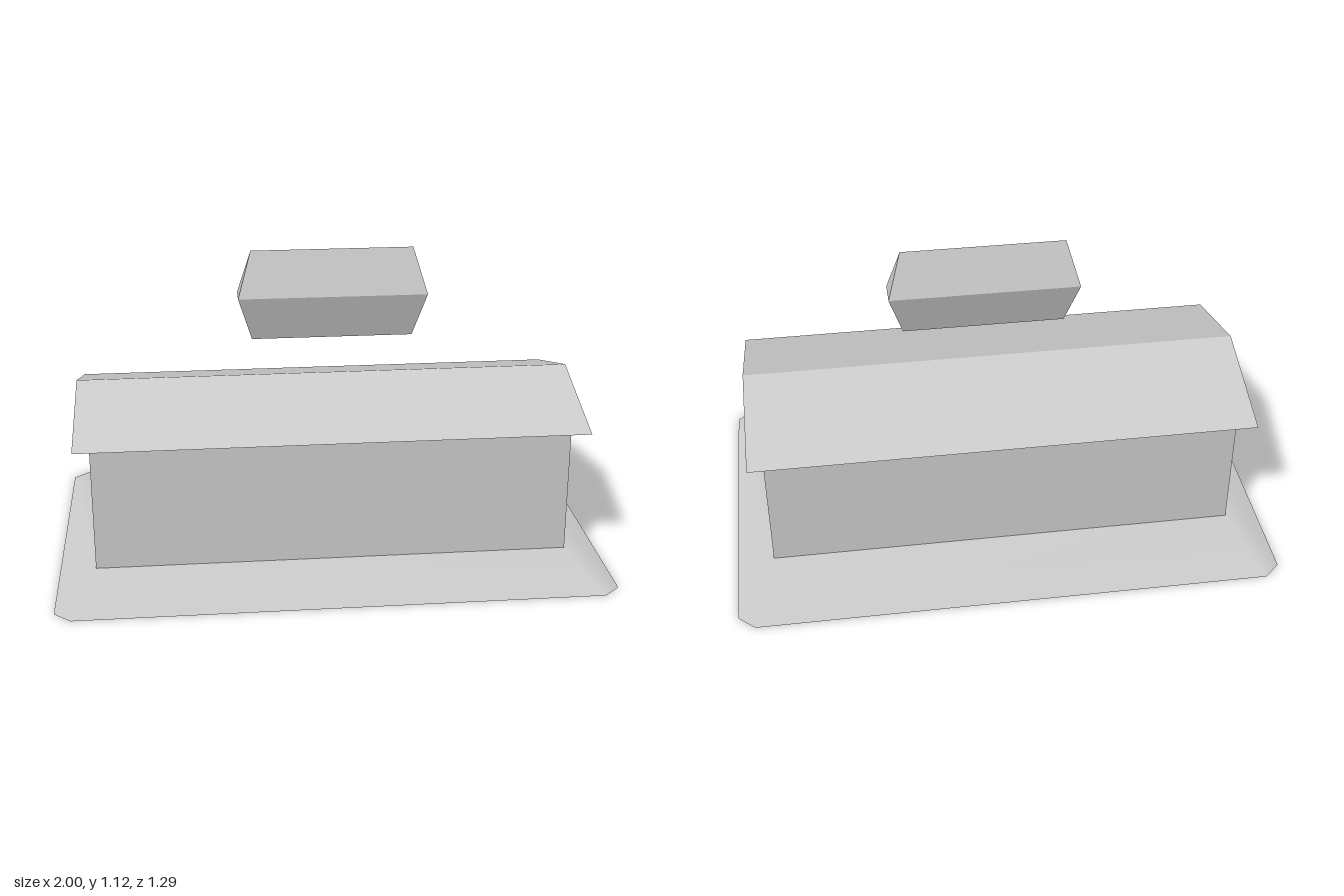
import * as THREE from 'three';

// Geometry from corner points and polygon faces (fanned into triangles).
function polyhedron(points, faces, smooth = false) {
  const index = [];
  for (const f of faces)
    for (let i = 1; i < f.length - 1; i++) index.push(f[0], f[i], f[i + 1]);
  let geo = new THREE.BufferGeometry();
  geo.setAttribute('position', new THREE.Float32BufferAttribute(points.flat(), 3));
  geo.setIndex(index);
  if (!smooth) geo = geo.toNonIndexed();
  geo.computeVertexNormals();
  return geo;
}

export function createModel() {
  const model = new THREE.Group();
  const grey = new THREE.MeshStandardMaterial({ color: 0xcccccc, side: THREE.DoubleSide });
  grey.name = 'light grey';

  const add = (name, geo) => {
    const mesh = new THREE.Mesh(geo, grey);
    mesh.name = name;
    model.add(mesh);
    return mesh;
  };

  const X = 0.865, Z = 0.335, FOOT = 0.04;

  // Sloping ground skirt: chamfered outer rim rising to the wall corners, open in the middle
  const rim = [], inner = [];
  for (const [sx, sz] of [[1, 1], [1, -1], [-1, -1], [-1, 1]]) {
    const pair = [[sx * 0.94, 0, sz * 0.645], [sx, 0, sz * 0.59]];
    rim.push(...(sx * sz > 0 ? pair : pair.reverse()));
    inner.push([sx * X, FOOT, sz * Z]);
  }
  const skirtFaces = [];
  for (let i = 0; i < 4; i++) {
    const j = (i + 1) % 4;
    skirtFaces.push([2 * i, 2 * i + 1, 8 + i]);
    skirtFaces.push([2 * i + 1, 2 * j, 8 + j, 8 + i]);
  }
  add('groundSkirt', polyhedron([...rim, ...inner], skirtFaces, true));

  // Hollow walls with gabled ends, open below
  const section = [[FOOT, Z], [FOOT, -Z], [0.543, -Z], [0.63, 0], [0.543, Z]];
  const wallPoints = [X, -X].flatMap(x => section.map(([y, z]) => [x, y, z]));
  add('walls', polyhedron(wallPoints, [
    [0, 1, 2, 3, 4],
    [5, 9, 8, 7, 6],
    [5, 0, 4, 9],
    [1, 6, 7, 2],
  ]));

  // Gabled roof, thickest at the ridge and tapering to sharp eaves
  const roofShape = new THREE.Shape([
    new THREE.Vector2(-0.413, 0.523), new THREE.Vector2(0, 0.63),
    new THREE.Vector2(0.413, 0.523), new THREE.Vector2(0, 0.646),
  ]);
  const roofGeo = new THREE.ExtrudeGeometry(roofShape, { depth: 1.84, bevelEnabled: false });
  roofGeo.translate(0, 0, -0.92).rotateY(Math.PI / 2);
  add('roof', roofGeo);

  // Floating bar: a diamond cross-section with slanted triangular ends
  const bar = add('floatingBar', polyhedron([
    [-0.348, 0, 0.05], [0.348, 0, 0.05], [0.348, 0, -0.05], [-0.348, 0, -0.05],
    [-0.298, 0.168, 0], [0.298, 0.168, 0], [-0.298, -0.168, 0], [0.298, -0.168, 0],
  ], [
    [0, 1, 5, 4], [2, 3, 4, 5], [1, 2, 5], [3, 0, 4],
    [1, 0, 6, 7], [3, 2, 7, 6], [2, 1, 7], [0, 3, 6],
  ]));
  bar.position.set(0.028, 0.953, 0);

  return model;
}
